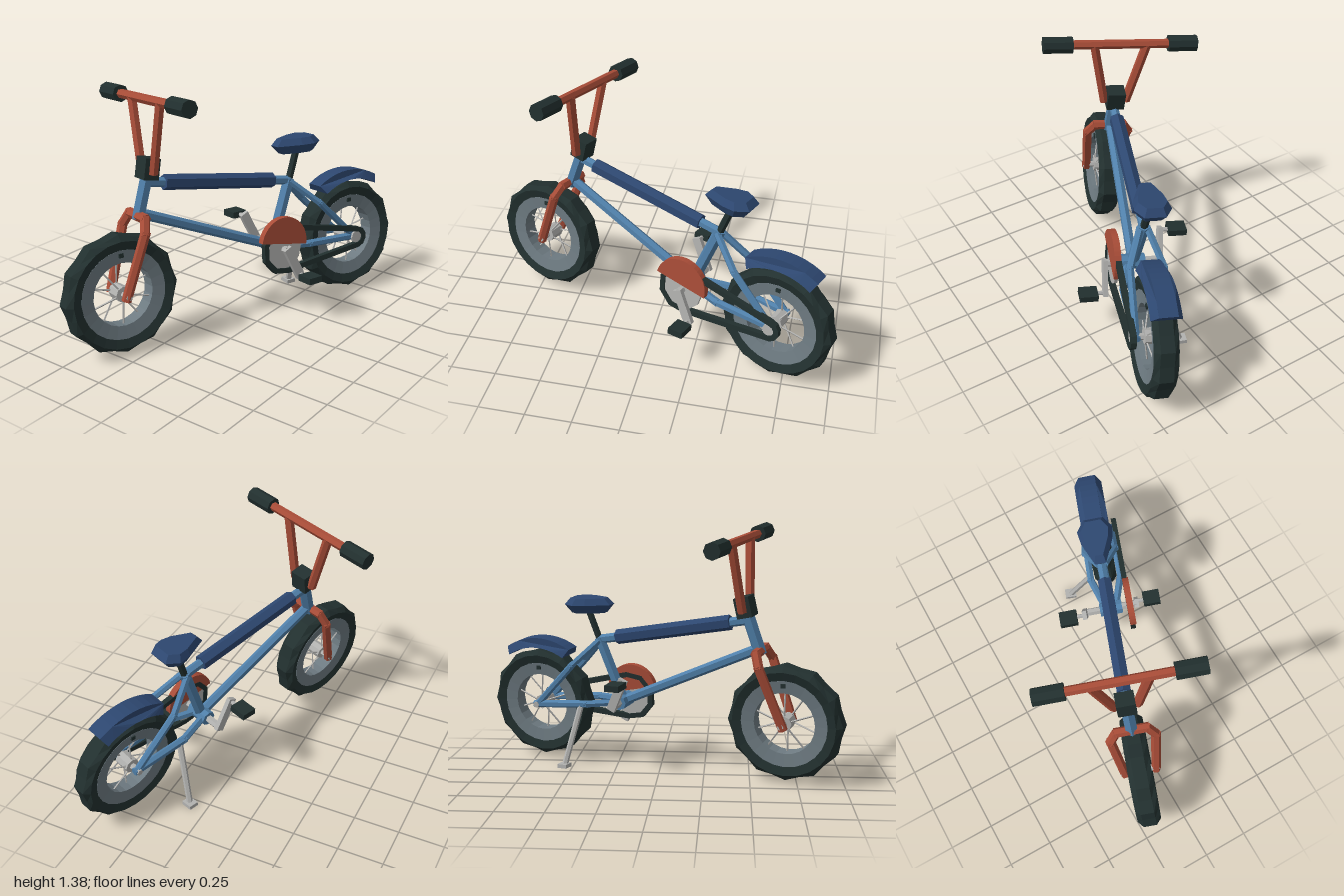
import * as THREE from 'three';
import { ConvexGeometry } from 'three/addons/geometries/ConvexGeometry.js';

const mat = (name, color) => {
  const m = new THREE.MeshStandardMaterial({ color, flatShading: true });
  m.name = name;
  return m;
};
const V = (x, y, z) => new THREE.Vector3(x, y, z);

export function createModel() {
  const blue = mat('frame blue', 0x5080aa);
  const navy = mat('navy', 0x2d4770);
  const red = mat('rust red', 0xa94d38);
  const rubber = mat('dark rubber', 0x22302f);
  const steel = mat('rim grey', 0x6e7b82);
  const silver = mat('light grey', 0xb2b2b0);

  const model = new THREE.Group();
  const bike = new THREE.Group();
  bike.name = 'bicycle';
  model.add(bike);

  const add = (name, geo, material, pos = V(0, 0, 0), parent = bike) => {
    const m = new THREE.Mesh(geo, material);
    m.name = name;
    m.position.copy(pos);
    parent.add(m);
    return m;
  };
  // Straight bar between two points
  const bar = (name, a, b, r, material, sides = 6, parent = bike) => {
    const d = b.clone().sub(a);
    const m = add(name, new THREE.CylinderGeometry(r, r, d.length(), sides), material, a.clone().add(b).multiplyScalar(0.5), parent);
    m.quaternion.setFromUnitVectors(V(0, 1, 0), d.normalize());
    return m;
  };
  // Bent bar: segments overlap slightly at each bend
  const bentBar = (name, pts, r, material) => {
    for (let i = 0; i < pts.length - 1; i++) {
      const d = pts[i + 1].clone().sub(pts[i]).normalize().multiplyScalar(r * 0.5);
      bar(name, pts[i].clone().sub(d), pts[i + 1].clone().add(d), r, material);
    }
  };
  // Flat plate drawn in the side plane (shape x = forward), centred on its depth
  const plate = (shape, depth, curveSegments = 8) => {
    const g = new THREE.ExtrudeGeometry(shape, { depth, bevelEnabled: false, curveSegments });
    g.translate(0, 0, -depth / 2);
    return g.rotateY(-Math.PI / 2);
  };
  const ring = (profile, segments) =>
    new THREE.LatheGeometry(profile.map(([r, y]) => new THREE.Vector2(r, y)), segments);

  // Wheels
  const makeWheel = (name, z) => {
    const wheel = new THREE.Group();
    wheel.name = name;
    wheel.position.set(0, 0.335, z);
    bike.add(wheel);

    // Tyre with twelve lobes: every second outer vertex is pulled in
    const tyre = ring([[0.23, -0.048], [0.285, -0.064], [0.317, -0.036], [0.317, 0.036], [0.285, 0.064], [0.23, 0.048]], 24);
    const p = tyre.attributes.position;
    for (let i = 0; i < p.count; i++) {
      const x = p.getX(i), zz = p.getZ(i);
      const k = Math.round(Math.atan2(x, zz) / (Math.PI / 12));
      if (k % 2 !== 0 && Math.hypot(x, zz) > 0.3) p.setXYZ(i, x * 0.95, p.getY(i), zz * 0.95);
    }
    add('tyre', tyre.rotateZ(-Math.PI / 2), rubber, undefined, wheel);
    add('rim', ring([[0.168, 0.042], [0.168, -0.042], [0.238, -0.052], [0.238, 0.052], [0.168, 0.042]], 24)
      .rotateZ(-Math.PI / 2), steel, undefined, wheel);
    add('valve', new THREE.BoxGeometry(0.112, 0.022, 0.025), rubber, V(0, 0.21, 0), wheel);
    // Hub and spokes
    bar('hub', V(-0.045, 0, 0), V(0.045, 0, 0), 0.042, silver, 8, wheel);
    bar('axle', V(-0.11, 0, 0), V(0.11, 0, 0), 0.018, silver, 6, wheel);
    for (let i = 0; i < 10; i++) {
      const a = (i / 10) * Math.PI * 2, s = i % 2 ? 1 : -1;
      bar('spoke', V(s * 0.035, Math.cos(a) * 0.03, Math.sin(a) * 0.03),
        V(s * 0.01, Math.cos(a) * 0.172, Math.sin(a) * 0.172), 0.005, silver, 4, wheel);
    }
  };
  makeWheel('frontWheel', 0.74);
  makeWheel('rearWheel', -0.74);

  // Frame
  const crank = V(0, 0.375, -0.22);
  const seatTop = V(0, 0.735, -0.355);
  bar('headTube', V(0, 0.695, 0.604), V(0, 0.91, 0.535), 0.036, blue);
  bar('topTube', V(0, 0.88, 0.55), V(0, 0.725, -0.353), 0.026, blue);
  bar('topTubePad', V(0, 0.861, 0.44), V(0, 0.745, -0.24), 0.042, navy);
  bar('downTube', V(0, 0.725, 0.59), crank, 0.028, blue);
  bar('seatTube', crank, seatTop, 0.032, blue);
  bar('crankShell', V(-0.065, 0.375, -0.22), V(0.065, 0.375, -0.22), 0.042, blue, 8);
  for (const s of [-1, 1]) {
    bentBar('seatStay', [V(s * 0.02, 0.715, -0.355), V(s * 0.088, 0.58, -0.5), V(s * 0.085, 0.335, -0.74)], 0.02, blue);
    bentBar('chainStay', [V(s * 0.03, 0.37, -0.23), V(s * 0.088, 0.36, -0.42), V(s * 0.085, 0.335, -0.75)], 0.022, blue);
  }

  // Fork
  bar('forkCrown', V(-0.095, 0.715, 0.605), V(0.095, 0.715, 0.605), 0.027, red);
  for (const s of [-1, 1]) {
    bentBar('forkLeg', [V(s * 0.085, 0.713, 0.607), V(s * 0.122, 0.65, 0.632), V(s * 0.088, 0.325, 0.745)], 0.026, red);
  }

  // Stem and handlebar
  const stem = add('stem', new THREE.BoxGeometry(0.1, 0.11, 0.085), rubber, V(0, 0.95, 0.525));
  stem.rotation.x = -0.2;
  bar('handlebar', V(-0.36, 1.3, 0.509), V(0.36, 1.3, 0.509), 0.025, red);
  for (const s of [-1, 1]) {
    bar('handlebarUpright', V(s * 0.062, 0.93, 0.527), V(s * 0.145, 1.295, 0.509), 0.026, red);
    bar('grip', V(s * 0.265, 1.3, 0.509), V(s * 0.425, 1.3, 0.509), 0.046, rubber, 8);
  }

  // Seat: widest at mid height, tapering to a nose
  bar('seatPost', V(0, 0.7, -0.345), V(0, 0.91, -0.42), 0.021, rubber);
  const outline = [[0.055, -0.535], [0.097, -0.47], [0.085, -0.395], [0.03, -0.265]];
  const seatPts = [];
  for (const [y, k] of [[0.882, 0.72], [0.93, 1], [0.966, 0.76]]) {
    for (const [x, z] of outline) {
      for (const s of [-1, 1]) seatPts.push(V(s * x * k, y, -0.41 + (z + 0.41) * k));
    }
  }
  add('seat', new ConvexGeometry(seatPts), navy);

  // Rear mudguard: arc whose outer edge is narrower
  const arc = new THREE.Shape();
  const a0 = Math.PI / 2 - 0.56, a1 = Math.PI / 2 + 0.56;
  arc.absarc(0, 0, 0.385, a0, a1, false);
  arc.absarc(0, 0, 0.335, a1, a0, true);
  const guard = plate(arc, 0.16, 5);
  const gp = guard.attributes.position;
  for (let i = 0; i < gp.count; i++) {
    if (Math.hypot(gp.getY(i), gp.getZ(i)) > 0.36) gp.setX(i, gp.getX(i) * 0.6);
  }
  add('rearMudguard', guard, navy, V(0, 0.335, -0.74));

  // Chain loop around both sprockets
  const loop = (rf, rr) => {
    const pts = [];
    for (const [z, y, r, start] of [[-0.22, 0.375, rf, -100], [-0.74, 0.335, rr, 100]]) {
      const span = start < 0 ? 200 : 160;
      for (let i = 0; i <= 5; i++) {
        const a = THREE.MathUtils.degToRad(start + (span * i) / 5);
        pts.push(new THREE.Vector2(z + r * Math.cos(a), y + r * Math.sin(a)));
      }
    }
    return pts;
  };
  const chain = new THREE.Shape(loop(0.142, 0.062));
  chain.holes.push(new THREE.Path(loop(0.112, 0.032)));
  add('chain', plate(chain, 0.03), rubber, V(0.108, 0, 0));
  bar('frontSprocket', V(0.098, 0.375, -0.22), V(0.116, 0.375, -0.22), 0.115, silver, 12);
  bar('rearSprocket', V(0.1, 0.335, -0.74), V(0.116, 0.335, -0.74), 0.036, silver, 8);

  // Half-round chain guard
  const half = new THREE.Shape();
  half.absarc(0, 0, 0.15, 0, Math.PI, false);
  const chainGuard = add('chainGuard', plate(half, 0.036, 10), red, V(0.112, 0.412, -0.215));
  chainGuard.rotation.x = -0.2;

  // Cranks and pedals, half a turn apart
  bar('crankAxle', V(-0.15, 0.375, -0.22), V(0.15, 0.375, -0.22), 0.022, silver);
  for (const s of [-1, 1]) {
    const arm = add('crankArm', new THREE.BoxGeometry(0.025, 0.2, 0.05), silver, V(s * 0.152, 0.375 - s * 0.075, -0.22 - s * 0.036));
    arm.rotation.x = 0.44;
    bar('pedalAxle', V(s * 0.15, 0.375 - s * 0.15, -0.22 - s * 0.072), V(s * 0.22, 0.375 - s * 0.15, -0.22 - s * 0.072), 0.012, silver);
    add('pedal', new THREE.BoxGeometry(0.1, 0.035, 0.085), rubber, V(s * 0.245, 0.375 - s * 0.15, -0.22 - s * 0.075));
  }

  // Kickstand
  bar('kickstand', V(-0.085, 0.36, -0.45), V(-0.235, 0.04, -0.496), 0.017, silver);
  add('kickstandFoot', new THREE.BoxGeometry(0.065, 0.022, 0.055), silver, V(-0.24, 0.035, -0.498)).rotation.z = -0.1;

  // The bicycle leans on its stand and is turned aside
  bike.rotation.order = 'YXZ';
  bike.rotation.set(0, -0.35, 0.1);
  bike.position.set(0.156, 0.002, 0.006);
  return model;
}
